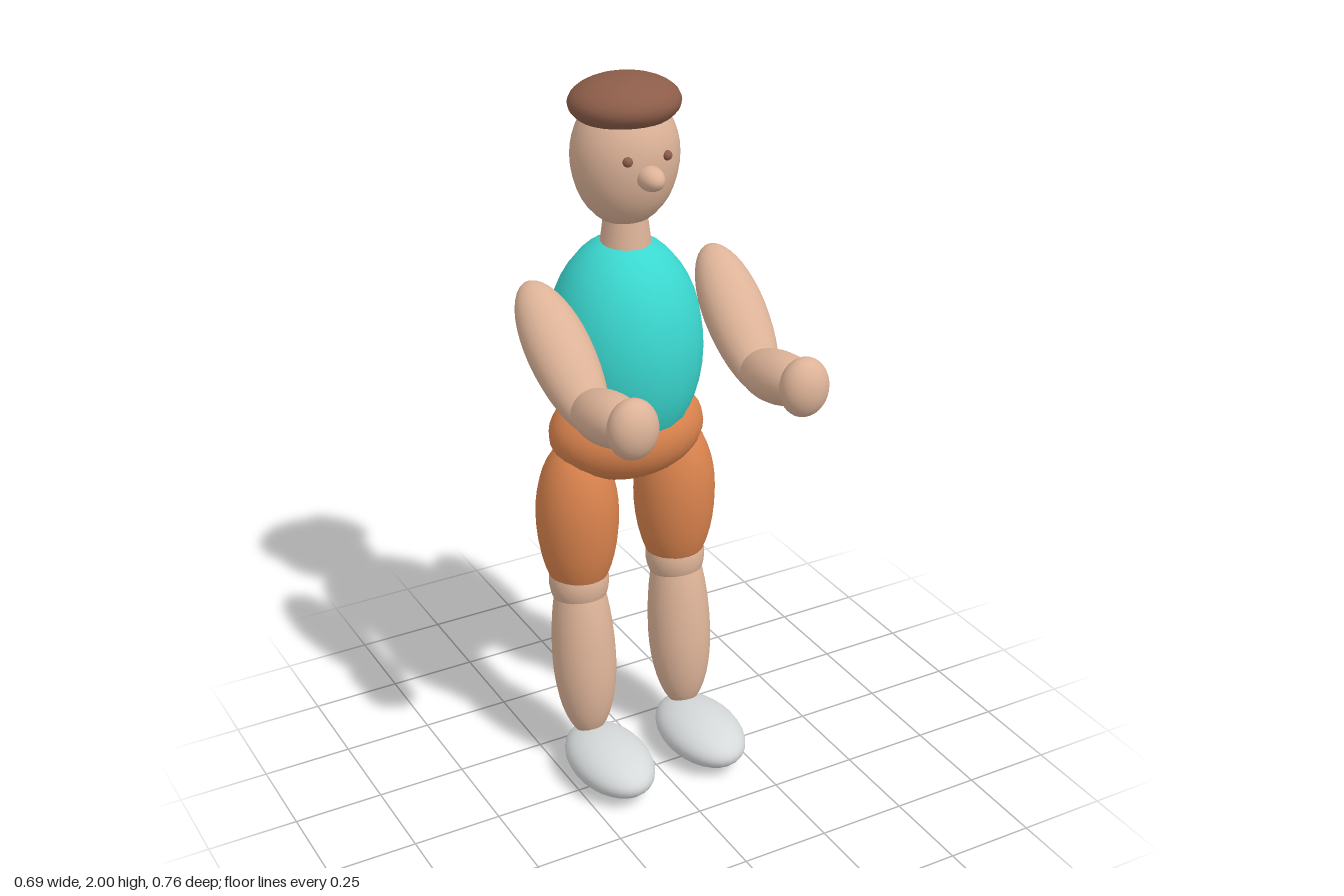
import * as THREE from 'three';

const material = (name, color) => {
  const m = new THREE.MeshStandardMaterial({ color });
  m.name = name;
  return m;
};

export function createModel() {
  const skin = material('skin', 0xddb398);
  const teal = material('teal shirt', 0x3ad8d0);
  const orange = material('orange shorts', 0xda834d);
  const brown = material('brown hair', 0x8c5d49);
  const white = material('white shoe', 0xd6d9da);

  const figure = new THREE.Group();
  figure.name = 'figure';

  // Egg-shaped body: separate heights above and below its widest ring, aimed along "up"
  function ovoid(name, mat, center, [rx, rz], above, below = above, up = [0, 1, 0], sides = 28) {
    const profile = [];
    const steps = 20;
    for (let i = 0; i <= steps; i++) {
      const a = -Math.PI / 2 + (Math.PI * i) / steps;
      const r = i === 0 || i === steps ? 0 : Math.cos(a);
      profile.push(new THREE.Vector2(r, Math.sin(a) * (a > 0 ? above : below)));
    }
    const mesh = new THREE.Mesh(new THREE.LatheGeometry(profile, sides), mat);
    mesh.name = name;
    mesh.scale.set(rx, 1, rz);
    mesh.position.set(...center);
    mesh.quaternion.setFromUnitVectors(new THREE.Vector3(0, 1, 0), new THREE.Vector3(...up).normalize());
    figure.add(mesh);
    return mesh;
  }

  // Trunk
  ovoid('torso', teal, [0, 1.27, -0.173], [0.21, 0.211], 0.306, 0.325, [0, 1, 0], 20);
  ovoid('pelvis', orange, [0, 1.02, -0.168], [0.221, 0.168], 0.137);
  const neck = new THREE.Mesh(new THREE.CylinderGeometry(0.055, 0.071, 0.12, 28), skin);
  neck.name = 'neck';
  neck.position.set(0, 1.59, -0.165);
  figure.add(neck);

  // Head, cap of hair and side ponytail
  ovoid('head', skin, [0, 1.795, -0.165], [0.144, 0.132], 0.175, 0.19);
  ovoid('hair', brown, [0, 1.932, -0.165], [0.148, 0.135], 0.068);
  ovoid('ponytail', brown, [0.1, 1.83, -0.273], [0.063, 0.06], 0.145, 0.145, [-0.07, 0.28, 0.035]);
  ovoid('nose', skin, [0, 1.768, -0.03], [0.034, 0.048], 0.032);

  for (const s of [1, -1]) {
    const side = s > 0 ? 'left' : 'right';
    ovoid(side + 'Eye', brown, [s * 0.056, 1.815, -0.045], [0.013, 0.013], 0.013);

    // Arm, bent forward at the elbow
    ovoid(side + 'UpperArm', skin, [s * 0.259, 1.35, -0.04], [0.086, 0.076], 0.207, 0.25, [s * 0.02, 0.25, -0.3]);
    ovoid(side + 'Forearm', skin, [s * 0.247, 1.26, 0.2], [0.073, 0.07], 0.155, 0.155, [0, 0.035, 0.18]);
    ovoid(side + 'Hand', skin, [s * 0.245, 1.285, 0.326], [0.067, 0.055], 0.08);

    // Leg
    ovoid(side + 'Thigh', orange, [s * 0.152, 0.79, -0.172], [0.114, 0.117], 0.225, 0.27);
    ovoid(side + 'Knee', skin, [s * 0.153, 0.58, -0.168], [0.084, 0.084], 0.1);
    ovoid(side + 'Shin', skin, [s * 0.154, 0.34, -0.142], [0.09, 0.09], 0.34, 0.25, [0, 0.45, -0.045]);
    ovoid(side + 'Foot', white, [s * 0.148, 0.07, -0.006], [0.111, 0.177], 0.068, 0.07);
  }
  return figure;
}
